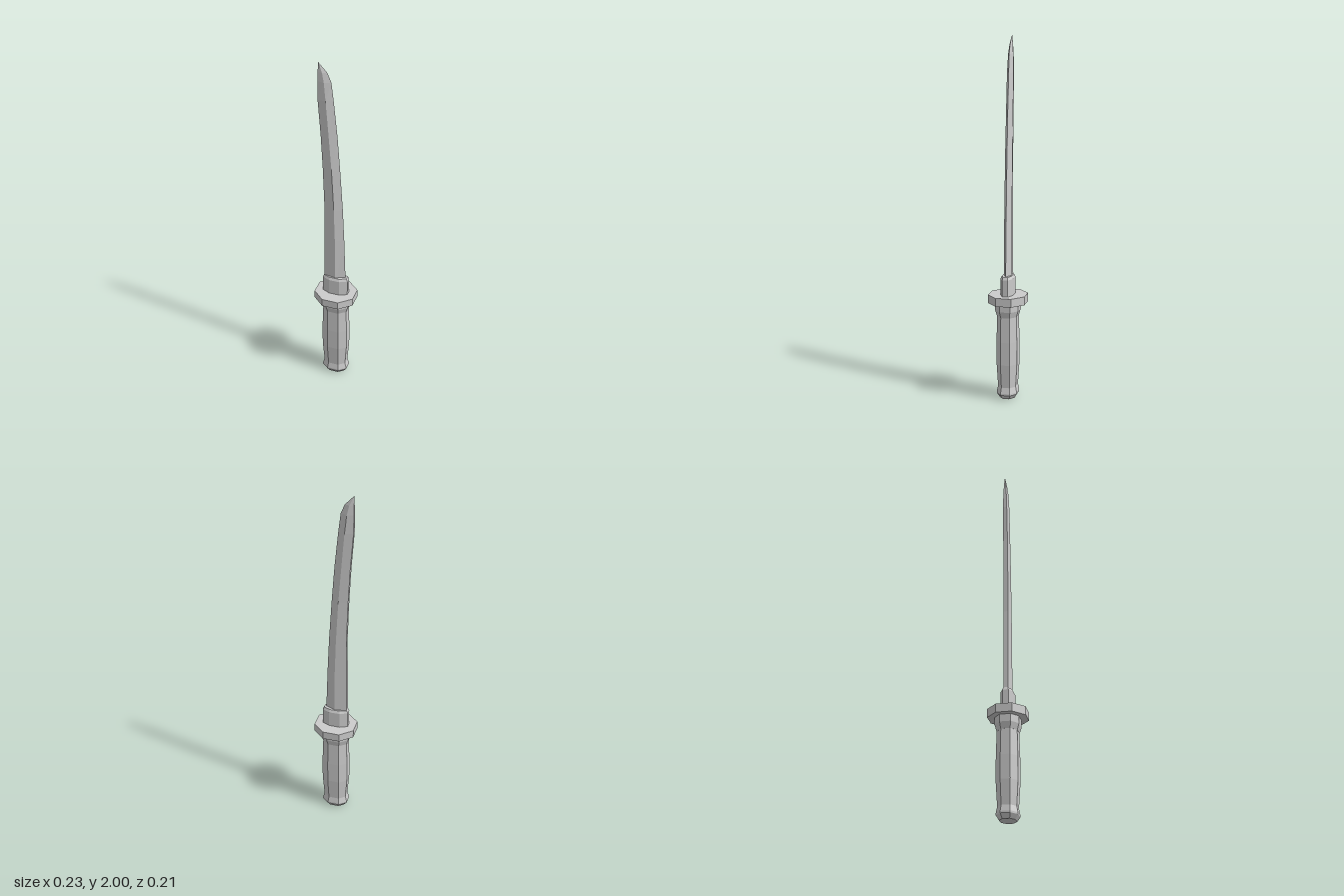
import * as THREE from 'three';

const steel = new THREE.MeshStandardMaterial({ color: 0xcccccc, flatShading: true });

// Skins a stack of horizontal rings (bottom to top, each going from +x towards +z) and caps both ends.
function loft(name, rings) {
  const pos = [];
  const tri = (...corners) => corners.forEach((p) => pos.push(...p));
  const n = rings[0].length;
  const first = rings[0];
  const last = rings[rings.length - 1];
  for (let i = 0; i < rings.length - 1; i++) {
    for (let j = 0; j < n; j++) {
      const k = (j + 1) % n;
      const a = rings[i][j], b = rings[i][k], c = rings[i + 1][j], d = rings[i + 1][k];
      tri(a, c, b);
      tri(b, c, d);
    }
  }
  for (let j = 1; j < n - 1; j++) {
    tri(first[0], first[j], first[j + 1]);
    tri(last[0], last[j + 1], last[j]);
  }
  const geometry = new THREE.BufferGeometry();
  geometry.setAttribute('position', new THREE.Float32BufferAttribute(pos, 3));
  geometry.computeVertexNormals();
  const mesh = new THREE.Mesh(geometry, steel);
  mesh.name = name;
  return mesh;
}

// Eight-sided ring at height y; fx and fz set where the corners are cut.
function octagon(y, rx, rz, fx = 0.45, fz = 0.45, cx = 0) {
  const x = rx * fx, z = rz * fz;
  return [
    [rx, z], [x, rz], [-x, rz], [-rx, z],
    [-rx, -z], [-x, -rz], [x, -rz], [rx, -z],
  ].map(([px, pz]) => [cx + px, y, pz]);
}

// Blade section: sharp edge at +x, a ridge on each side, narrow flat spine at -x.
function bladeRing([y, spine, ridge, edge, ridgeZ, spineZ]) {
  return [
    [edge, y, 0], [ridge, y, ridgeZ], [spine, y, spineZ],
    [spine, y, -spineZ], [ridge, y, -ridgeZ],
  ];
}

export function createModel() {
  const group = new THREE.Group();
  group.name = 'shortSword';

  // Pommel, flared then chamfered at the foot
  group.add(loft('pommel', [
    octagon(0, 0.055, 0.042),
    octagon(0.025, 0.073, 0.057),
    octagon(0.035, 0.073, 0.057),
    octagon(0.07, 0.064, 0.05),
  ]));

  // Grip, swelling gently in the middle
  group.add(loft('grip', [
    octagon(0.06, 0.064, 0.05),
    octagon(0.2, 0.074, 0.058),
    octagon(0.33, 0.074, 0.058),
    octagon(0.48, 0.069, 0.054),
  ]));

  // Ferrule under the guard
  group.add(loft('ferrule', [
    octagon(0.47, 0.07, 0.055),
    octagon(0.505, 0.081, 0.065),
    octagon(0.548, 0.081, 0.065),
  ]));

  // Guard plate
  group.add(loft('guard', [
    octagon(0.545, 0.114, 0.103, 0.41, 0.42),
    octagon(0.592, 0.114, 0.103, 0.41, 0.42),
  ]));

  // Blade collar
  group.add(loft('collar', [
    octagon(0.585, 0.073, 0.035, 0.42, 0.45),
    octagon(0.685, 0.073, 0.035, 0.42, 0.45),
    octagon(0.7, 0.066, 0.028, 0.42, 0.45),
  ]));

  // Curved blade: y, spine x, ridge x, edge x, ridge half thickness, spine half thickness
  group.add(loft('blade', [
    [0.65, -0.066, 0.004, 0.058, 0.023, 0.012],
    [0.95, -0.064, 0.001, 0.048, 0.022, 0.012],
    [1.15, -0.061, -0.005, 0.039, 0.021, 0.012],
    [1.4, -0.069, -0.018, 0.023, 0.02, 0.012],
    [1.6, -0.079, -0.033, 0.008, 0.019, 0.012],
    [1.8, -0.094, -0.049, -0.012, 0.018, 0.011],
    [1.9, -0.095, -0.059, -0.024, 0.014, 0.008],
    [1.95, -0.094, -0.07, -0.045, 0.009, 0.005],
    [2.0, -0.093, -0.0925, -0.092, 0.0005, 0.0003],
  ].map(bladeRing)));

  return group;
}
